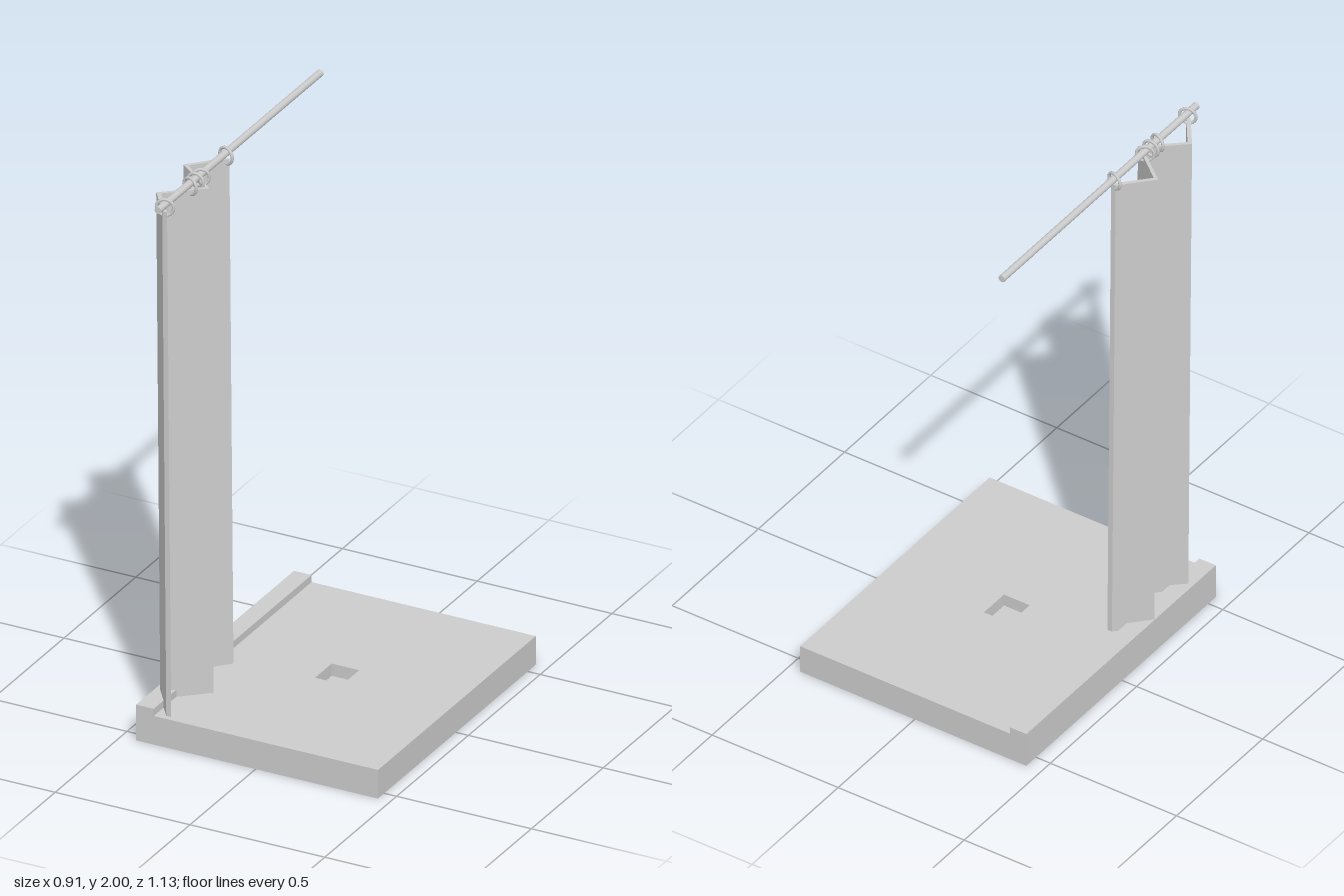
import * as THREE from 'three';

export function createModel() {
  const model = new THREE.Group();
  const grey = new THREE.MeshStandardMaterial({ color: 0xcccccc });
  const greyFlat = new THREE.MeshStandardMaterial({ color: 0xcccccc, flatShading: true });

  const add = (name, geometry, material = greyFlat) => {
    const mesh = new THREE.Mesh(geometry, material);
    mesh.name = name;
    model.add(mesh);
    return mesh;
  };

  // Outline in plan (x, z), raised from y0 to y1
  const path = (points, Type) => new Type(points.map(([x, z]) => new THREE.Vector2(x, -z)));
  const raise = (shape, y0, y1) =>
    new THREE.ExtrudeGeometry(shape, { depth: y1 - y0, bevelEnabled: false })
      .rotateX(-Math.PI / 2).translate(0, y0, 0);
  const rect = (x0, x1, z0, z1) => [[x0, z0], [x0, z1], [x1, z1], [x1, z0]];

  // Shower tray: solid floor, upper layer with the drain recess, and side kerb
  const X0 = -0.443, X1 = 0.454, Z0 = -0.556, Z1 = 0.543;
  const drainFloor = 0.06, trayTop = 0.105;
  add('trayFloor', raise(path(rect(X0, X1, Z0, Z1), THREE.Shape), 0, drainFloor));
  const upper = path(rect(X0, X1, Z0, Z1), THREE.Shape);
  upper.holes.push(path(rect(-0.042, 0.06, -0.066, 0.05), THREE.Path));
  add('trayWithDrain', raise(upper, drainFloor, trayTop));
  add('trayKerb', raise(path(rect(X0, -0.378, Z0, Z1), THREE.Shape), trayTop, 0.131));

  // Folded curtain: zigzag sheet, leaning slightly outwards towards the top
  const folds = [[-0.348, 0.523], [-0.43, 0.411], [-0.308, 0.302], [-0.447, 0.19], [-0.35, 0.085]];
  const half = 0.009, bottom = 0.1, top = 1.953;
  const outline = [
    ...folds.map(([x, z]) => [x - half, z]),
    ...folds.map(([x, z]) => [x + half, z]).reverse(),
  ];
  const curtain = raise(path(outline, THREE.Shape), bottom, top);
  const pos = curtain.attributes.position;
  for (let i = 0; i < pos.count; i++) {
    const drop = (top - pos.getY(i)) / (top - bottom);
    pos.setX(i, pos.getX(i) + 0.015 * drop);
  }
  curtain.computeVertexNormals();
  add('curtain', curtain);

  // Rail
  const railX = -0.351;
  const rail = new THREE.CylinderGeometry(0.0125, 0.0125, 1.13, 20).rotateX(Math.PI / 2);
  add('curtainRail', rail, grey).position.set(railX, 1.976, 0);

  // Rings, each turned a little on the rail: [z, yaw]
  const rings = [[0.09, -0.3], [0.268, 0.5], [0.302, 0], [0.34, -0.3], [0.515, 0.28]];
  for (const [z, yaw] of rings) {
    const ring = add('curtainRing', new THREE.TorusGeometry(0.029, 0.0055, 8, 20), grey);
    ring.position.set(railX, 1.9655, z);
    ring.rotation.y = yaw;
  }
  return model;
}
